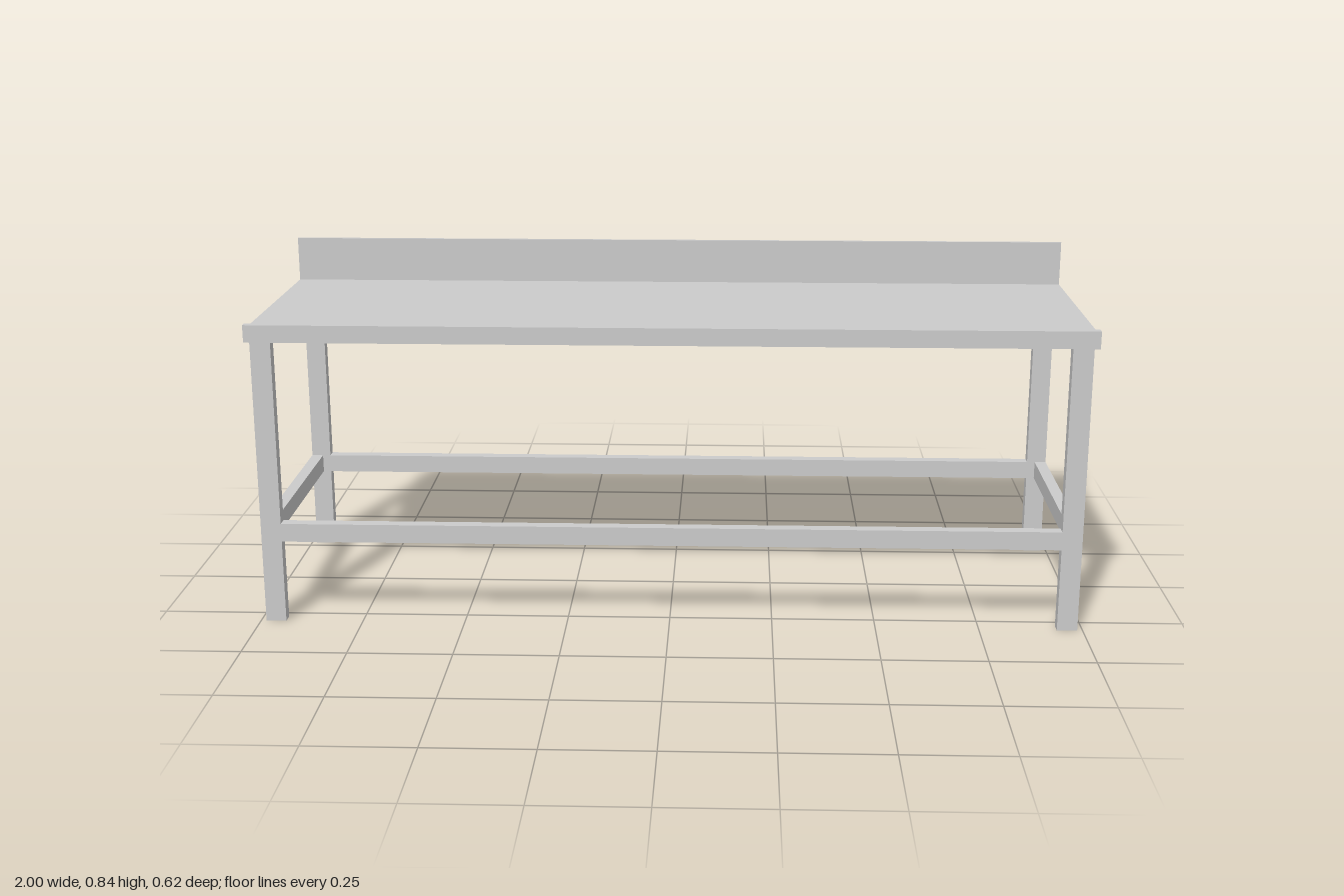
import * as THREE from 'three';

const material = new THREE.MeshStandardMaterial({ color: 0xcccccc, flatShading: true });

function box(name, w, h, d, x, y, z) {
  const mesh = new THREE.Mesh(new THREE.BoxGeometry(w, h, d), material);
  mesh.name = name;
  mesh.position.set(x, y, z);
  return mesh;
}

export function createModel() {
  const group = new THREE.Group();
  group.name = 'workTable';

  const topBottom = 0.70, legW = 0.049, legD = 0.029, legX = 0.9625, legZ = 0.288;
  const railH = 0.045, railT = 0.029, railY = 0.2275;

  // Worktop: raised front lip, flat surface and rear upstand in one profile [z, y]
  const profile = [
    [0.308, topBottom], [0.308, 0.742], [0.288, 0.742], [0.271, 0.729],
    [-0.298, 0.729], [-0.298, 0.84], [-0.307, 0.84], [-0.307, topBottom],
  ];
  const shape = new THREE.Shape(profile.map(([z, y]) => new THREE.Vector2(-z, y)));
  const topGeo = new THREE.ExtrudeGeometry(shape, { depth: 2, bevelEnabled: false });
  topGeo.translate(0, 0, -1).rotateY(Math.PI / 2);
  const worktop = new THREE.Mesh(topGeo, material);
  worktop.name = 'worktop';
  group.add(worktop);

  // Legs
  for (const [sx, side] of [[1, 'Left'], [-1, 'Right']]) {
    for (const [sz, end] of [[1, 'front'], [-1, 'back']]) {
      group.add(box(`${end}${side}Leg`, legW, topBottom, legD, sx * legX, topBottom / 2, sz * legZ));
    }
    // Side rail, flush with the outer leg faces
    const railX = legX + legW / 2 - railT / 2;
    group.add(box(`side${side}Rail`, railT, railH, 2 * legZ - legD, sx * railX, railY, 0));
  }

  // Long rails between the legs
  for (const [sz, end] of [[1, 'front'], [-1, 'back']]) {
    group.add(box(`${end}Rail`, 2 * legX - legW, railH, railT, 0, railY, sz * legZ));
  }
  return group;
}
